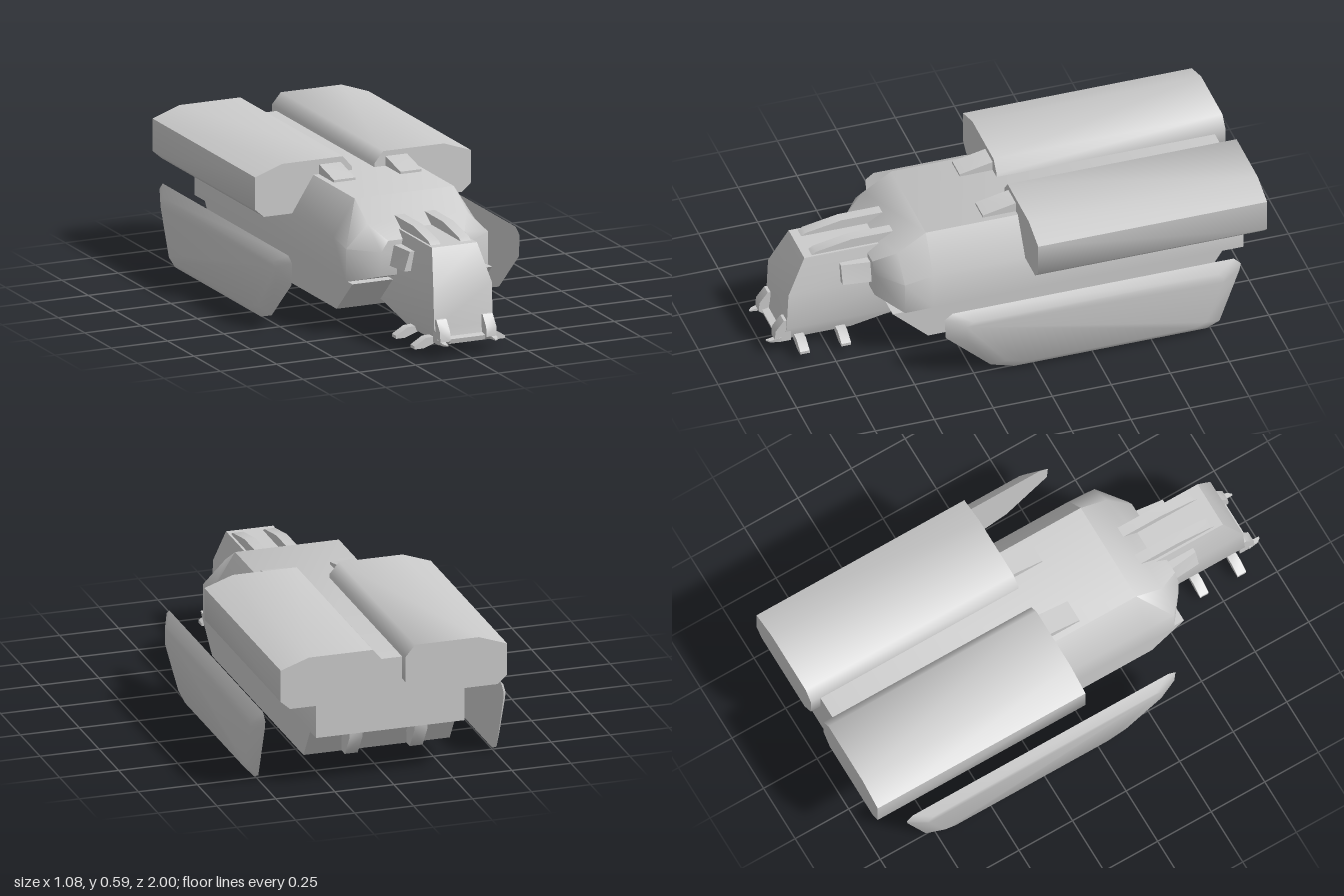
import * as THREE from 'three';
import { toCreasedNormals } from 'three/addons/utils/BufferGeometryUtils.js';

const material = new THREE.MeshStandardMaterial({ color: 0xcccccc });

// Skin convex loops of [x, y, z] points in order and cap both ends.
function loft(loops, crease = 1.0) {
  const tris = [];
  const n = loops[0].length;
  for (let i = 0; i < loops.length - 1; i++) {
    for (let j = 0; j < n; j++) {
      const k = (j + 1) % n;
      const [a, b, c, d] = [loops[i][j], loops[i][k], loops[i + 1][k], loops[i + 1][j]];
      tris.push([a, b, c], [a, c, d]);
    }
  }
  const first = loops[0], last = loops[loops.length - 1];
  for (let j = 1; j < n - 1; j++) {
    tris.push([first[0], first[j + 1], first[j]], [last[0], last[j], last[j + 1]]);
  }
  // The signed volume tells whether the corners must be reversed to face out.
  const v = tris.map(t => t.map(p => new THREE.Vector3(...p)));
  const volume = v.reduce((s, [a, b, c]) => s + a.dot(b.clone().cross(c)), 0);
  if (volume < 0) v.forEach(t => t.reverse());
  const geometry = new THREE.BufferGeometry().setFromPoints(v.flat());
  return toCreasedNormals(geometry, crease);
}

// Side profile of [z, y] points swept from x0 to x1.
const sideLoops = (profile, x0, x1) => [x0, x1].map(x => profile.map(([z, y]) => [x, y, z]));

// Front profile of [x, y] points swept from z0 to z1.
const frontLoops = (profile, z0, z1) => [z0, z1].map(z => profile.map(([x, y]) => [x, y, z]));

// Right/left symmetric section at depth z from its left-hand points.
const symmetric = (half, z) => [
  ...half.map(([x, y]) => [x, y, z]),
  ...half.slice().reverse().map(([x, y]) => [-x, y, z]),
];

export function createModel() {
  const model = new THREE.Group();

  const add = (name, loops, crease) => {
    const mesh = new THREE.Mesh(loft(loops, crease), material);
    mesh.name = name;
    model.add(mesh);
  };
  const addPair = (name, loops, crease) => {
    add(name + 'Left', loops, crease);
    add(name + 'Right', loops.map(l => l.map(([x, y, z]) => [-x, y, z])), crease);
  };

  // Upper hull with a tapered nose
  const hull = [[0.315, 0.228], [0.315, 0.385], [0.22, 0.535]];
  add('upperHull', [
    symmetric(hull, -0.955),
    symmetric(hull, 0.36),
    symmetric([[0.315, 0.228], [0.315, 0.365], [0.22, 0.46]], 0.48),
    symmetric([[0.2, 0.26], [0.2, 0.36], [0.17, 0.405]], 0.57),
  ]);

  // Lower hull with sloping ends
  add('lowerHull', sideLoops(
    [[0.53, 0.23], [0.38, 0.09], [-0.78, 0.09], [-0.87, 0.23]], -0.31, 0.31), 0.5);

  // Long pods on the back
  addPair('backPod', frontLoops([
    [0.05, 0.55], [0.05, 0.44], [0.1, 0.385], [0.44, 0.385],
    [0.48, 0.42], [0.48, 0.555], [0.36, 0.597], [0.09, 0.597],
  ], -1, -0.03));

  // Wedges joining the pods to the hull
  addPair('podWedge', sideLoops(
    [[0.11, 0.53], [0.11, 0.545], [-0.03, 0.575], [-0.06, 0.575], [-0.06, 0.53]], 0.1, 0.195), 0.5);

  // Side skirts with a bevelled outer face
  const skirt = [
    [0.375, 0.3], [0.34, 0.325], [-0.85, 0.325], [-0.88, 0.295], [-0.875, 0.265],
    [-0.79, 0.03], [-0.735, 0.005], [0.08, 0.005], [0.18, 0.035], [0.37, 0.21],
  ];
  const skirtOuter = skirt.map(([z, y]) => [-0.255 + (z + 0.255) * 0.87, 0.166 + (y - 0.166) * 0.766]);
  addPair('sideSkirt', [
    skirt.map(([z, y]) => [0.505, y, z]),
    skirtOuter.map(([z, y]) => [0.54, y, z]),
  ]);

  // Hooks under the tail
  addPair('tailHook', sideLoops(
    [[-0.82, 0.25], [-0.93, 0.25], [-0.93, 0.2], [-0.87, 0.11], [-0.83, 0.11]], 0.11, 0.165));

  // Head, stacked from level sections
  const level = (y, x, back, front) => [[x, y, back], [-x, y, back], [-x, y, front], [x, y, front]];
  add('head', [
    level(0.06, 0.11, 0.64, 0.93),
    level(0.12, 0.13, 0.41, 0.92),
    level(0.285, 0.13, 0.41, 0.912),
    level(0.435, 0.1, 0.41, 0.835),
  ]);
  add('jaw', sideLoops([[0.72, 0.06], [0.95, 0.06], [0.955, 0.08], [0.9, 0.09], [0.72, 0.09]], -0.08, 0.08), 0.5);

  // Crests along the top of the head
  addPair('headCrest', sideLoops(
    [[0.8, 0.435], [0.78, 0.447], [0.63, 0.475], [0.44, 0.475], [0.44, 0.425], [0.8, 0.425]], 0.045, 0.09), 0.5);

  // Cheek blocks, wider towards the hull
  addPair('cheek', [
    [[0.09, 0.305, 0.55], [0.165, 0.3, 0.55], [0.147, 0.385, 0.55], [0.09, 0.385, 0.55]],
    [[0.09, 0.305, 0.69], [0.155, 0.305, 0.69], [0.13, 0.385, 0.69], [0.09, 0.385, 0.69]],
  ], 0.5);

  // Fangs at the front of the jaw, with small claws
  addPair('fang', sideLoops(
    [[0.9, 0.06], [0.95, 0.06], [0.968, 0.075], [0.965, 0.115], [0.93, 0.16], [0.9, 0.16]], 0.08, 0.125), 0.8);
  addPair('fangClaw', [
    [[0.1, 0.062, 0.94], [0.128, 0.062, 0.94], [0.128, 0.082, 0.94], [0.1, 0.082, 0.94]],
    [[0.103, 0.064, 0.985], [0.122, 0.064, 0.985], [0.122, 0.072, 0.985], [0.103, 0.072, 0.985]],
    [[0.103, 0.066, 1], [0.11, 0.066, 1], [0.11, 0.07, 1], [0.103, 0.07, 1]],
  ]);

  // Short feelers on the sides of the jaw
  const feeler = [[0.09, 0.06], [0.16, 0.035], [0.2, 0.035], [0.2, 0.047], [0.15, 0.077], [0.09, 0.08]];
  [['rear', 0.67], ['front', 0.845]].forEach(([end, z]) => {
    addPair(end + 'Feeler', frontLoops(feeler, z, z + 0.04), 0.8);
  });

  return model;
}
